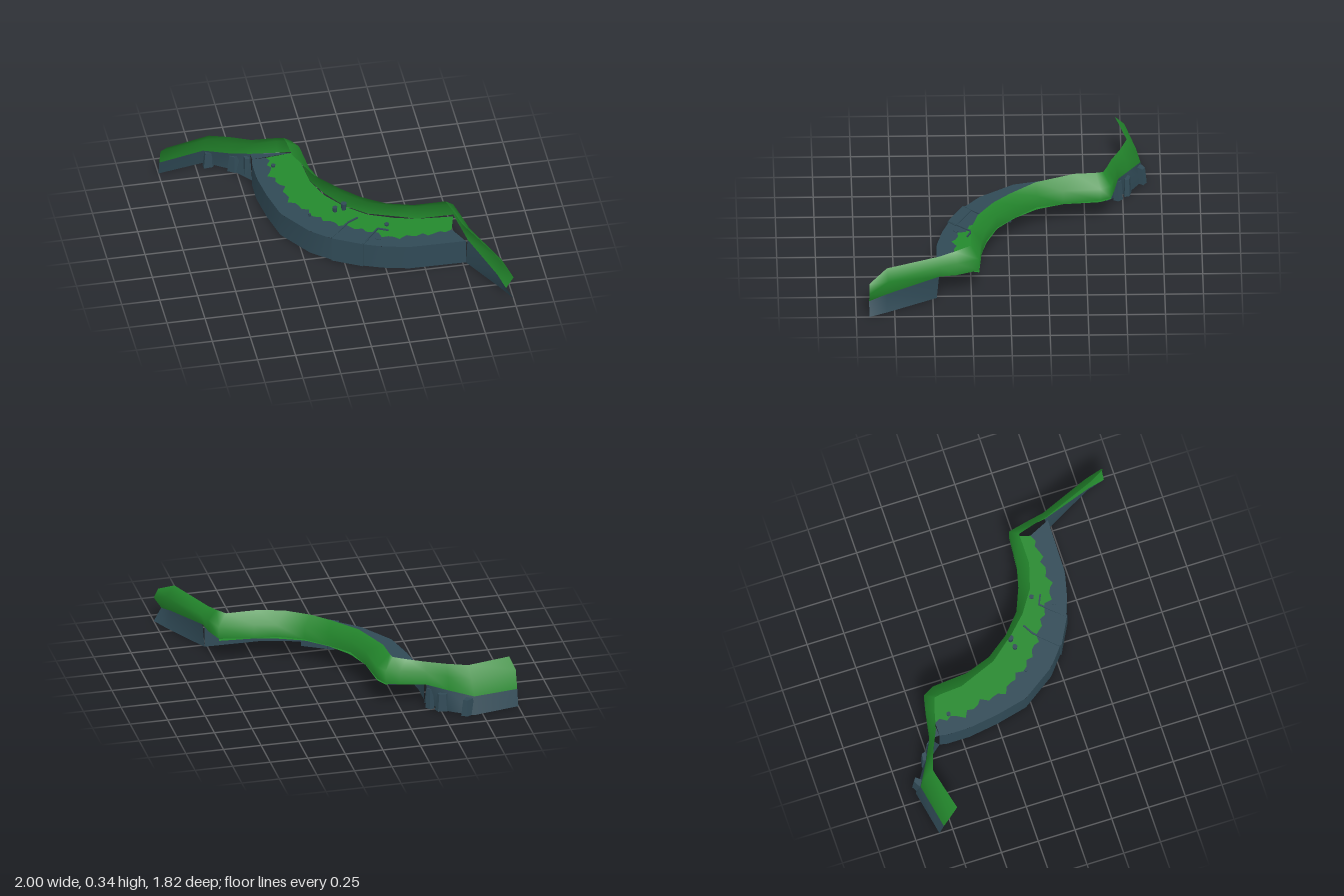
import * as THREE from 'three';

const grass = new THREE.MeshStandardMaterial({ color: 0x24892d, side: THREE.DoubleSide });
grass.name = 'grass green';
const rock = new THREE.MeshStandardMaterial({ color: 0x304a56, side: THREE.DoubleSide });
rock.name = 'slate rock';

const v = (x, y, z) => new THREE.Vector3(x, y, z);

// Surface through rows of points; every row has the same number of points
function loft(rows) {
  const n = rows[0].length, index = [];
  for (let i = 0; i < rows.length - 1; i++) {
    for (let j = 0; j < n - 1; j++) {
      const a = i * n + j, b = a + n;
      index.push(a, b, a + 1, a + 1, b, b + 1);
    }
  }
  const geo = new THREE.BufferGeometry().setFromPoints(rows.flat());
  geo.setIndex(index);
  geo.computeVertexNormals();
  return geo;
}

// Evenly spaced points along a ground-plan polyline at one height
function resample(plan, y, count) {
  const path = new THREE.CurvePath();
  for (let i = 0; i < plan.length - 1; i++) {
    path.add(new THREE.LineCurve3(v(plan[i][0], y, plan[i][1]), v(plan[i + 1][0], y, plan[i + 1][1])));
  }
  return Array.from({ length: count + 1 }, (_, i) => path.getPointAt(i / count));
}

// Ledge plan: outer cliff edge, grass boundary, inner edge under the bank, and bank crest
const cliffPlan = [[-0.42, -0.65], [-0.43, -0.6], [-0.43, -0.45], [-0.4, -0.25], [-0.35, -0.04], [-0.2, 0.18],
  [-0.08, 0.28], [0.1, 0.38], [0.23, 0.43], [0.4, 0.47], [0.77, 0.475]];
const grassPlan = [[-0.33, -0.65], [-0.33, -0.46], [-0.29, -0.32], [-0.25, -0.13], [-0.16, -0.01], [-0.03, 0.14],
  [0.08, 0.18], [0.14, 0.24], [0.27, 0.32], [0.38, 0.365], [0.51, 0.35], [0.7, 0.35]];
const bankPlan = [[-0.16, -0.67], [-0.12, -0.6], [-0.1, -0.36], [-0.04, -0.19], [0.07, -0.04], [0.2, 0.075],
  [0.37, 0.145], [0.51, 0.18], [0.74, 0.2]];
const crestPlan = [[-0.22, -0.62], [-0.21, -0.57], [-0.2, -0.43], [-0.1, -0.18], [0.04, -0.01], [0.15, 0.1],
  [0.3, 0.2], [0.47, 0.25], [0.68, 0.25]];

// Wing cross-sections: crest, belly, grass edge, foot
const rearWing = [
  [v(-0.97, 0.3, -0.71), v(-1, 0.23, -0.77), v(-1, 0.11, -0.81), v(-1, 0, -0.84)],
  [v(-0.68, 0.305, -0.78), v(-0.69, 0.23, -0.84), v(-0.7, 0.12, -0.87), v(-0.69, 0, -0.9)],
  [v(-0.55, 0.308, -0.735), v(-0.55, 0.23, -0.77), v(-0.55, 0.14, -0.785), v(-0.55, 0, -0.81)],
  [v(-0.42, 0.31, -0.675), v(-0.42, 0.25, -0.71), v(-0.42, 0.165, -0.72), v(-0.42, 0, -0.65)],
];
const frontWing = [
  [v(0.75, 0.3, 0.46), v(0.8, 0.25, 0.45), v(0.785, 0.17, 0.46), v(0.77, 0, 0.475)],
  [v(0.89, 0.3, 0.8), v(0.945, 0.23, 0.79), v(0.915, 0.12, 0.8), v(0.945, 0, 0.8)],
  [v(0.97, 0.23, 0.915), v(1, 0.17, 0.915), v(0.95, 0.09, 0.915), v(1, 0, 0.915)],
];

export function createModel() {
  const model = new THREE.Group();
  const add = (name, geo, mat) => {
    const mesh = new THREE.Mesh(geo, mat);
    mesh.name = name;
    model.add(mesh);
    return mesh;
  };

  // Ledge floor: rock margin outside, ragged grass inside
  const N = 44;
  const edge = resample(cliffPlan, 0.172, N);
  const inner = resample(bankPlan, 0.172, N);
  const ragged = resample(grassPlan, 0.172, N);
  ragged.forEach((p, i) => p.lerp(inner[i], 0.09 * Math.sin(i * 2.3) + 0.05 * Math.sin(i * 0.9)));
  add('ledgeRockMargin', loft([edge, ragged]), rock);
  add('ledgeGrass', loft([ragged, inner]), grass);

  // Cliff wall below the ledge
  const wall = add('ledgeCliffWall', loft([cliffPlan.map(([x, z]) => v(x, 0.172, z)),
    cliffPlan.map(([x, z]) => v(x, 0, z))]), rock);
  wall.geometry.computeVertexNormals();

  // Grass bank leaning over the ledge, running on into both wings
  const bank = crestPlan.map(([x, z], i) => {
    const [bx, bz] = bankPlan[i];
    return [v(x, 0.34, z), v(bx, 0.27, bz), v(bx, 0.18 + 0.008 * Math.sin(i * 2.5), bz)];
  });
  const sections = [
    ...rearWing.map((s) => s.slice(0, 3)),
    [v(-0.3, 0.328, -0.645), v(-0.25, 0.265, -0.69), v(-0.25, 0.172, -0.69)],
    ...bank,
    [v(0.72, 0.318, 0.36), v(0.775, 0.26, 0.34), v(0.77, 0.17, 0.35)],
    ...frontWing.map((s) => s.slice(0, 3)),
  ];
  add('grassBank', loft(sections), grass);

  // Rock feet of the wings
  add('rearWingRock', loft(rearWing.map((s) => s.slice(2))), rock);
  add('frontWingRock', loft(frontWing.map((s) => s.slice(2))), rock);

  // Floor piece filling the corner beside the rear wing
  add('cornerRock', loft([[v(-0.42, 0.172, -0.65), v(-0.16, 0.172, -0.67)],
    [v(-0.42, 0.165, -0.72), v(-0.25, 0.172, -0.69)]]), rock);

  // Boulders along the foot of the rear wing: [x, z, width, height, depth, turn]
  for (const [x, z, w, h, d, turn] of [[-0.66, -0.87, 0.1, 0.11, 0.06, 0.5], [-0.51, -0.78, 0.09, 0.12, 0.05, -0.2],
    [-0.44, -0.72, 0.05, 0.14, 0.06, 0.4]]) {
    const geo = new THREE.CylinderGeometry(0.4, 0.56, 1, 5).toNonIndexed();
    geo.scale(w, h, d);
    geo.computeVertexNormals();
    const stone = add('boulder', geo, rock);
    stone.position.set(x, h / 2, z);
    stone.rotation.y = turn;
  }

  // Jutting slab in the cliff face
  const slabPlan = [[-0.08, 0.29], [0.11, 0.392], [0.16, 0.34], [-0.03, 0.235]];
  const slab = new THREE.ExtrudeGeometry(new THREE.Shape(slabPlan.map(([x, z]) => new THREE.Vector2(x, -z))),
    { depth: 0.178, bevelEnabled: false });
  slab.rotateX(-Math.PI / 2);
  add('cliffSlab', slab, rock);

  // Narrow cracks crossing the ledge
  for (const line of [[[-0.075, 0.28], [0.06, 0.14], [0.13, 0.1]], [[0.105, 0.385], [0.235, 0.24], [0.3, 0.27]]]) {
    for (let i = 0; i < 2; i++) {
      const [[x0, z0], [x1, z1]] = [line[i], line[i + 1]];
      const crack = add('crack', new THREE.BoxGeometry(Math.hypot(x1 - x0, z1 - z0), 0.009, 0.01), rock);
      crack.position.set((x0 + x1) / 2, 0.176, (z0 + z1) / 2);
      crack.rotation.y = -Math.atan2(z1 - z0, x1 - x0);
    }
  }

  // Small stumps standing on the ledge: [x, z, radius, top]
  for (const [x, z, r, top] of [[0, 0, 0.017, 0.205], [0.06, -0.01, 0.02, 0.222], [-0.3, -0.55, 0.015, 0.185],
    [0.3, 0.21, 0.016, 0.185], [-0.17, 0.02, 0.01, 0.19], [0.22, 0.34, 0.02, 0.176]]) {
    const stump = add('stump', new THREE.CylinderGeometry(r, r * 0.6, top - 0.14, 7), rock);
    stump.position.set(x, (top + 0.14) / 2, z);
  }
  return model;
}
